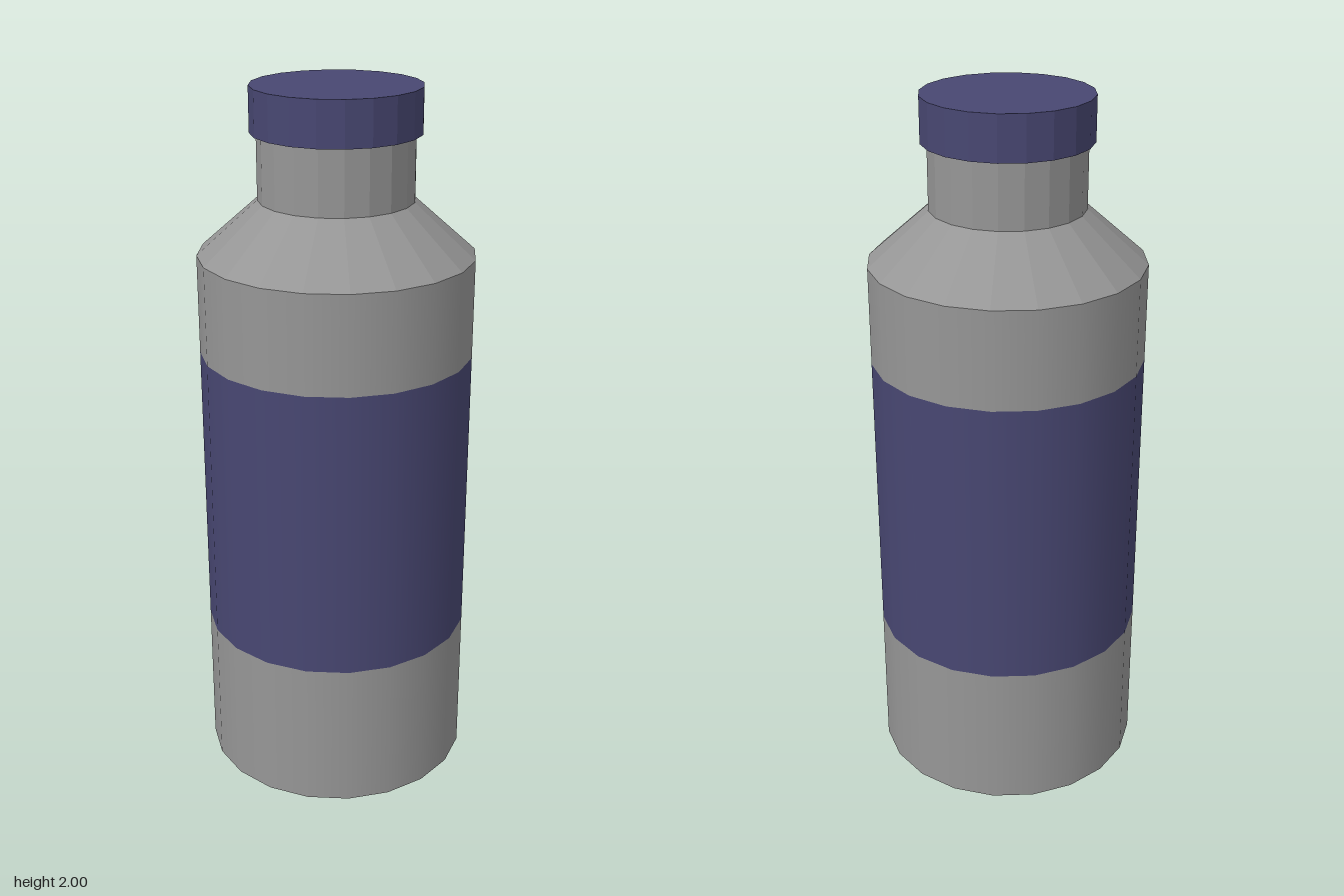
import * as THREE from 'three';

const SIDES = 20;

export function createModel() {
  const bottle = new THREE.Group();
  bottle.name = 'bottle';

  const grey = new THREE.MeshStandardMaterial({ color: 0x969696 });
  const greyFaceted = new THREE.MeshStandardMaterial({ color: 0x969696, flatShading: true });
  const blue = new THREE.MeshStandardMaterial({ color: 0x484772 });
  const blueFaceted = new THREE.MeshStandardMaterial({ color: 0x484772, flatShading: true });

  // Upright section between two heights, open at both ends
  function section(name, y0, y1, r0, r1, material) {
    const geometry = new THREE.CylinderGeometry(r1, r0, y1 - y0, SIDES, 1, true);
    geometry.translate(0, (y0 + y1) / 2, 0);
    const mesh = new THREE.Mesh(geometry, material);
    mesh.name = name;
    bottle.add(mesh);
  }

  // Flat end disc facing up or down
  function disc(name, y, radius, up, material) {
    const geometry = new THREE.CircleGeometry(radius, SIDES);
    geometry.rotateX(up ? -Math.PI / 2 : Math.PI / 2);
    geometry.translate(0, y, 0);
    const mesh = new THREE.Mesh(geometry, material);
    mesh.name = name;
    bottle.add(mesh);
  }

  // Body with a flush coloured band
  const R = 0.384;
  disc('base', 0, R, false, grey);
  section('lowerBody', 0, 0.433, R, R, grey);
  section('band', 0.433, 1.267, R, R, blue);
  section('upperBody', 1.267, 1.545, R, R, grey);

  // Shoulder and neck
  section('shoulder', 1.545, 1.695, R, 0.215, greyFaceted);
  section('neck', 1.695, 1.876, 0.215, 0.215, greyFaceted);

  // Cap, overhanging the neck with a grey underside
  disc('capUnderside', 1.876, 0.233, false, greyFaceted);
  section('cap', 1.876, 2, 0.233, 0.233, blueFaceted);
  disc('capTop', 2, 0.233, true, blueFaceted);

  return bottle;
}
